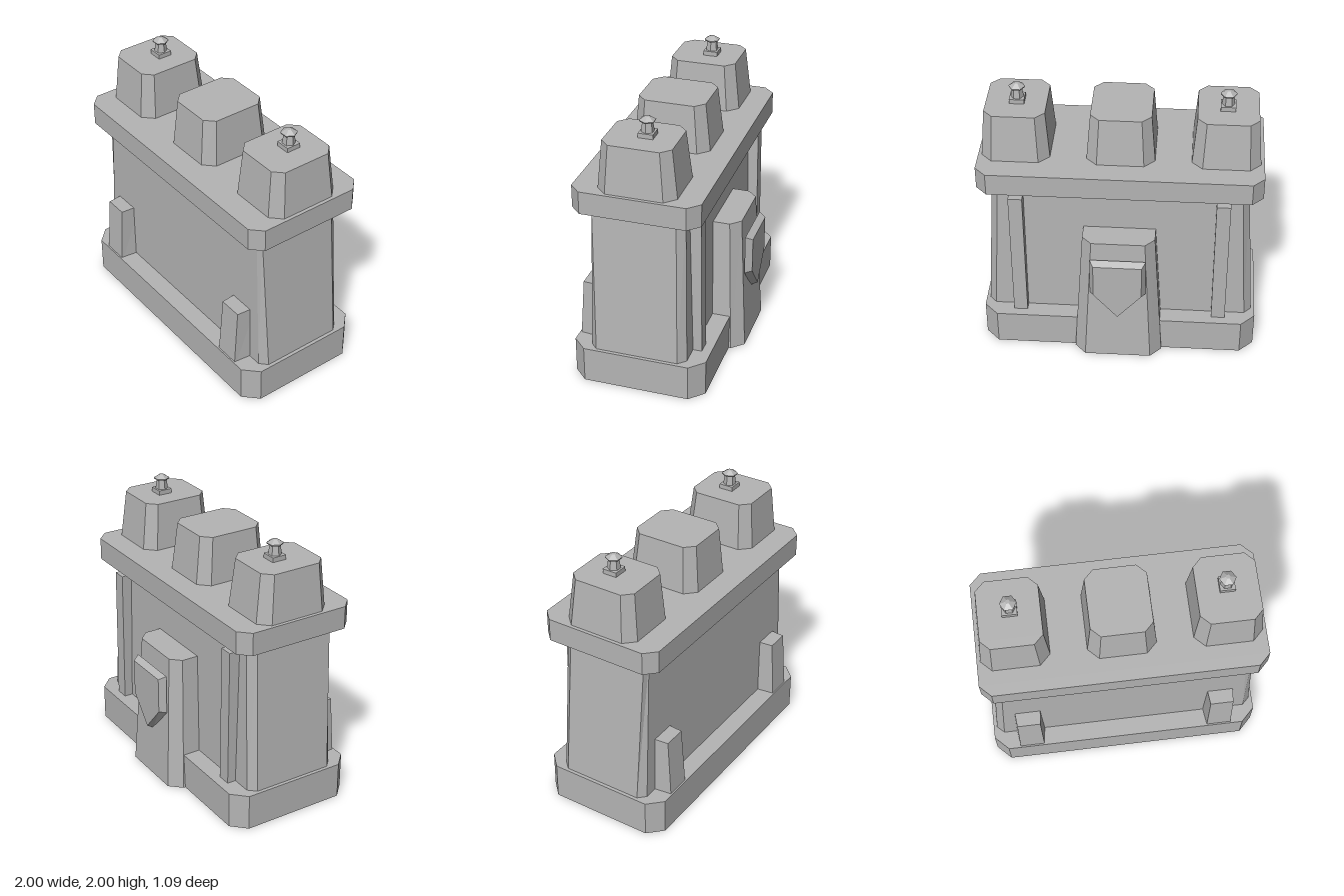
import * as THREE from 'three';

const stone = new THREE.MeshStandardMaterial({ color: 0xb4b4b4, side: THREE.DoubleSide });
stone.name = 'grey stone';

// Flat-faced solid between two matching rings of [x, y, z] points
function loft(name, a, b, closedStart = true) {
  const pos = [];
  const tri = (...pts) => pts.forEach((p) => pos.push(...p));
  const n = a.length;
  for (let i = 0; i < n; i++) {
    const j = (i + 1) % n;
    tri(a[i], a[j], b[j]);
    tri(a[i], b[j], b[i]);
    if (i > 0 && i < n - 1) {
      tri(b[0], b[i], b[j]);
      if (closedStart) tri(a[0], a[j], a[i]);
    }
  }
  const geo = new THREE.BufferGeometry();
  geo.setAttribute('position', new THREE.Float32BufferAttribute(pos, 3));
  geo.computeVertexNormals();
  const mesh = new THREE.Mesh(geo, stone);
  mesh.name = name;
  return mesh;
}

// Rectangle with cut corners: half width, back z, front z, corner cuts
function ring(y, hx, z0, z1, cx, czBack = cx, czFront = czBack) {
  return [
    [hx, y, z1 - czFront], [hx, y, z0 + czBack], [hx - cx, y, z0], [cx - hx, y, z0],
    [-hx, y, z0 + czBack], [-hx, y, z1 - czFront], [cx - hx, y, z1], [hx - cx, y, z1],
  ];
}

// Four-cornered ring, wider at the back than the front
const wedge = (y, back, front, z0, z1) =>
  [[front, y, z1], [back, y, z0], [-back, y, z0], [-front, y, z1]];

function makeFinial() {
  const g = new THREE.Group();
  const add = (name, geo, y) => {
    const flat = geo.index ? geo.toNonIndexed() : geo;
    flat.computeVertexNormals();
    const m = new THREE.Mesh(flat, stone);
    m.name = name;
    m.position.y = y;
    g.add(m);
  };
  const hex = (rTop, rBottom, h) => new THREE.CylinderGeometry(rTop, rBottom, h, 6).rotateY(Math.PI / 6);
  add('finialPlinth', new THREE.BoxGeometry(0.105, 0.035, 0.105), 0.0175);
  add('finialShaft', hex(0.036, 0.046, 0.08), 0.07);
  add('finialBrim', hex(0.058, 0.054, 0.01), 0.112);
  add('finialCap', hex(0.016, 0.058, 0.025), 0.1295);
  return g;
}

export function createModel() {
  const model = new THREE.Group();
  model.name = 'gatehouse';

  // Base (hollow underneath), leaning wall and parapet slab
  model.add(loft('base', ring(0, 1, -0.42, 0.545, 0.1), ring(0.265, 1, -0.42, 0.545, 0.1), false));
  model.add(loft('wall', ring(0.265, 0.975, -0.29, 0.41, 0.052, 0.055, 0.05),
    ring(1.35, 0.905, -0.265, 0.395, 0.045, 0.055, 0.012)));
  model.add(loft('parapet', ring(1.35, 1, -0.39, 0.515, 0.08), ring(1.515, 1, -0.39, 0.515, 0.08)));

  // Three merlons
  for (const x of [-0.735, 0, 0.735]) {
    const merlon = loft('merlon', ring(1.515, 0.24, -0.22, 0.335, 0.075), ring(1.86, 0.212, -0.18, 0.305, 0.065));
    merlon.position.x = x;
    model.add(merlon);
  }

  // Mirrored finials and pilasters
  for (const s of [-1, 1]) {
    const finial = makeFinial();
    finial.name = 'finial';
    finial.position.set(s * 0.73, 1.858, 0.038);
    model.add(finial);

    const front = loft('frontPilaster', wedge(0.2, 0.114, 0.092, 0.36, 0.538), wedge(0.69, 0.098, 0.085, 0.36, 0.505));
    front.position.x = s * 0.718;
    model.add(front);

    const back = loft('backPilaster', wedge(0.2, 0.05, 0.05, -0.355, -0.24), wedge(1.28, 0.05, 0.05, -0.345, -0.24));
    back.position.x = s * 0.73;
    model.add(back);
  }

  // Rear buttress
  model.add(loft('buttress', ring(0, 0.32, -0.52, -0.15, 0.08, 0.085), ring(1.01, 0.258, -0.465, -0.2, 0.068, 0.07)));

  // Bevelled shield on the buttress
  const shield = (z, w, top, side, tip) =>
    [[w, top, z], [w, side, z], [0, tip, z], [-w, side, z], [-w, top, z]];
  model.add(loft('shield', shield(-0.495, 0.2, 0.885, 0.59, 0.37), shield(-0.545, 0.172, 0.86, 0.6, 0.4)));

  return model;
}
